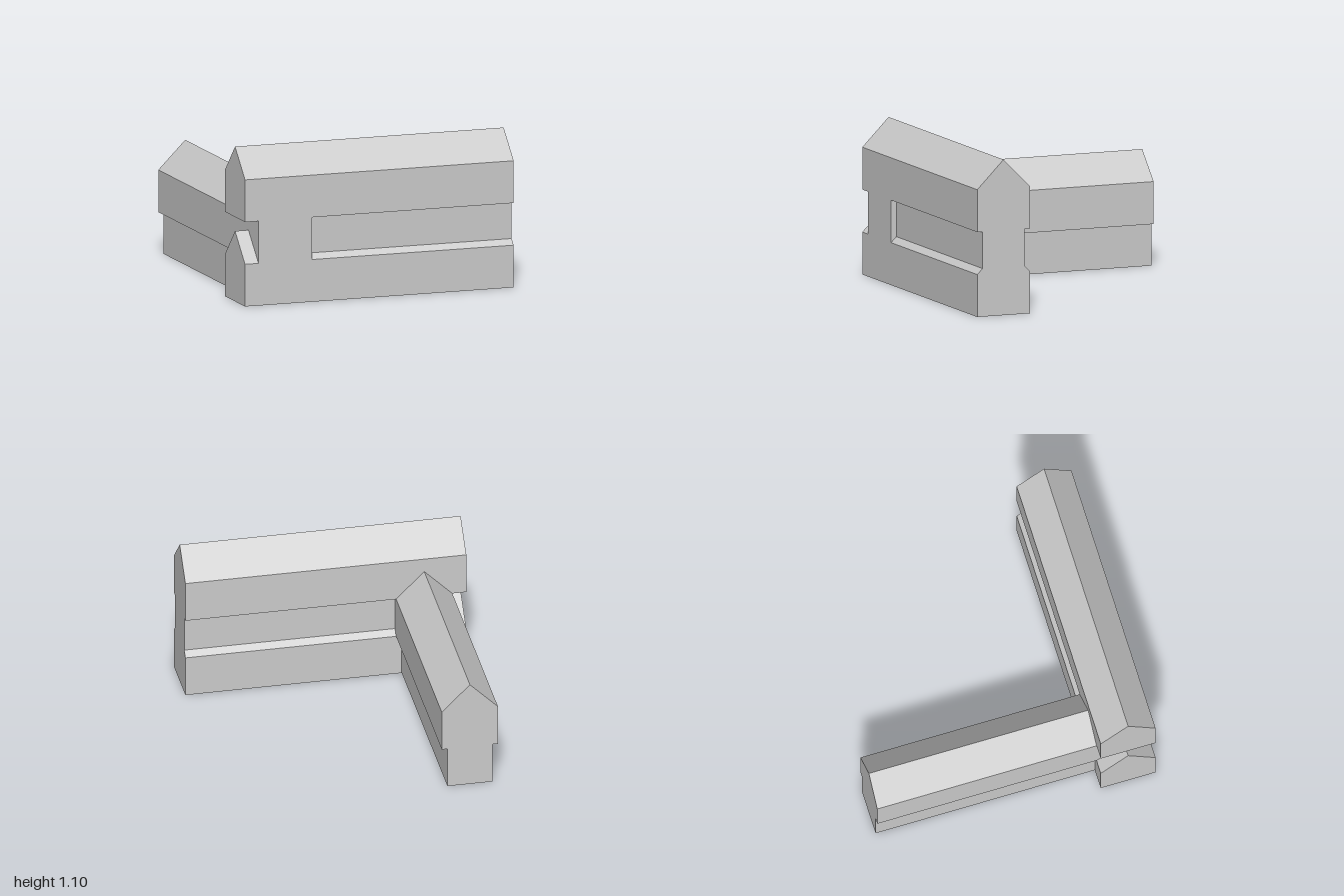
import * as THREE from 'three';

const material = new THREE.MeshStandardMaterial({ color: 0xcccccc, flatShading: true });

// Prism along +z from a half outline [half width, y], listed bottom to top and mirrored
function prism(half, length) {
  const mirrored = half.filter(([w]) => w > 0).reverse().map(([w, y]) => [-w, y]);
  const points = [...half, ...mirrored].map(([w, y]) => new THREE.Vector2(w, y));
  return new THREE.ExtrudeGeometry(new THREE.Shape(points), { depth: length, bevelEnabled: false });
}

function addPart(group, name, geometry) {
  const mesh = new THREE.Mesh(geometry, material);
  mesh.name = name;
  group.add(mesh);
}

export function createModel() {
  const model = new THREE.Group();
  const frontWall = new THREE.Group();
  frontWall.name = 'frontWall';
  model.add(frontWall);

  // Front wall: pieces running along x, centred on z = 0.8
  const alongX = (name, half, x0, x1) =>
    addPart(frontWall, name, prism(half, x1 - x0).rotateY(Math.PI / 2).translate(x0, 0, 0.8));

  // Grooved length, with a sloping sill below each groove
  alongX('groovedLength',
    [[0.2, 0], [0.2, 0.3], [0.16, 0.34], [0.16, 0.6], [0.2, 0.6], [0.2, 0.9], [0, 1.1]], -0.5, 1);
  // Solid block at the corner joint
  alongX('cornerBlock', [[0.2, 0], [0.2, 0.9], [0, 1.1]], -0.9, -0.5);
  // Notched end: peaked lower stub and overhanging upper stub
  alongX('lowerStub', [[0.2, 0], [0.2, 0.3], [0, 0.5]], -1, -0.9);
  alongX('upperStub', [[0.2, 0.6], [0.2, 0.9], [0, 1.1]], -1, -0.9);

  // Side wall: narrower foot under a peaked upper course, running back along z
  addPart(model, 'sideWall',
    prism([[0.16, 0], [0.16, 0.3], [0.2, 0.3], [0.2, 0.6], [0, 0.8]], 1.6).translate(-0.7, 0, -1));

  return model;
}
